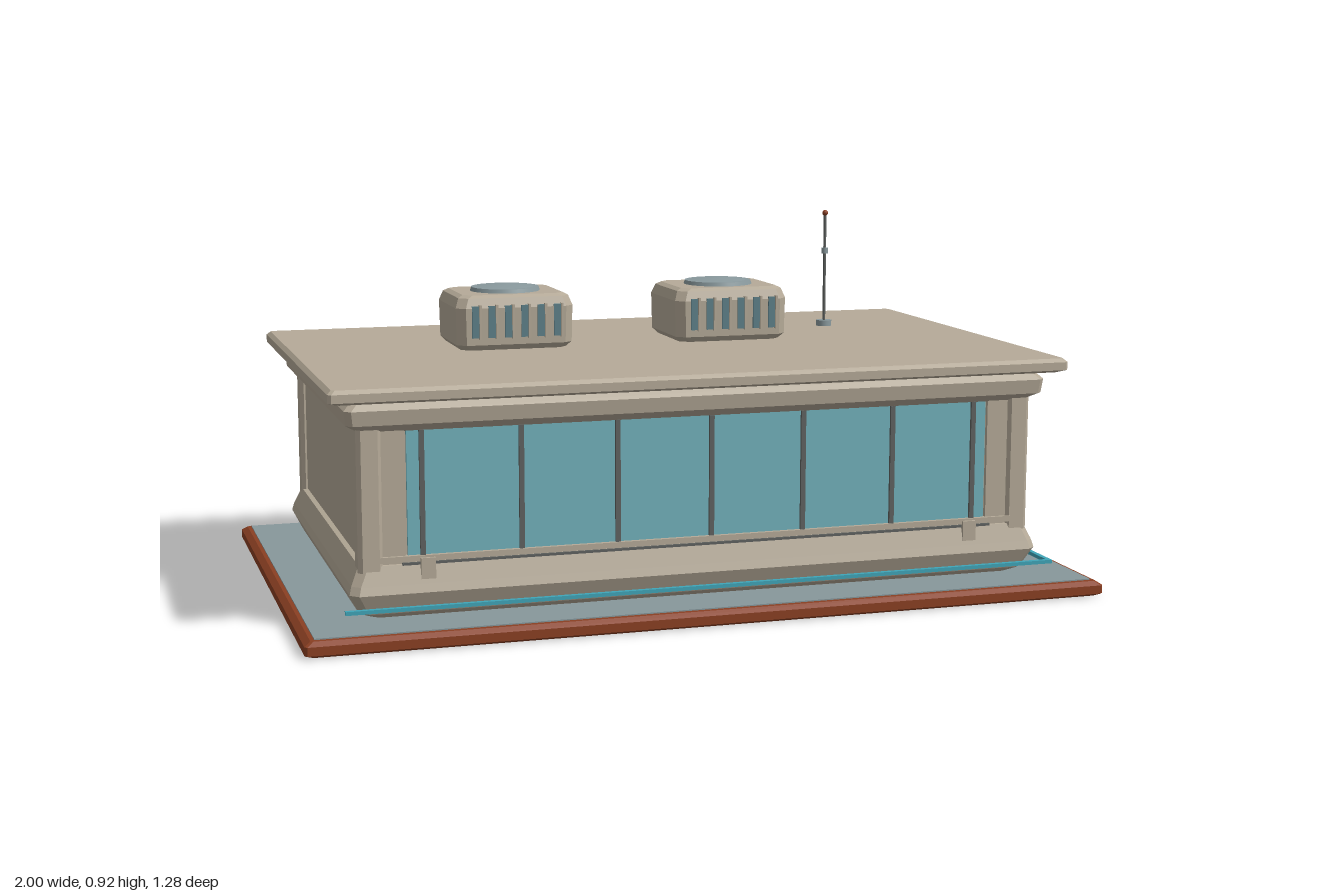
import * as THREE from 'three';

const mat = (name, color) => {
  const m = new THREE.MeshStandardMaterial({ color });
  m.name = name;
  return m;
};

// Stacked rectangular sections [halfX, halfZ, y] with cut corners, closed at both ends
function loft(sections, cut = 0.01) {
  const rings = sections.map(([x, z, y]) => [
    [x, z - cut], [x, cut - z], [x - cut, -z], [cut - x, -z],
    [-x, cut - z], [-x, z - cut], [cut - x, z], [x - cut, z],
  ].map(([a, b]) => [a, y, b]));
  const pos = [];
  const tri = (a, b, c) => pos.push(...a, ...b, ...c);
  for (let i = 0; i < rings.length - 1; i++) {
    const lo = rings[i], hi = rings[i + 1];
    for (let j = 0; j < 8; j++) {
      const k = (j + 1) % 8;
      tri(lo[j], lo[k], hi[k]);
      tri(lo[j], hi[k], hi[j]);
    }
  }
  const bottom = rings[0], top = rings[rings.length - 1];
  for (let j = 1; j < 7; j++) {
    tri(bottom[0], bottom[j + 1], bottom[j]);
    tri(top[0], top[j], top[j + 1]);
  }
  const g = new THREE.BufferGeometry();
  g.setAttribute('position', new THREE.Float32BufferAttribute(pos, 3));
  g.computeVertexNormals();
  return g;
}

export function createModel() {
  const root = new THREE.Group();
  root.name = 'pavilion';

  const stone = mat('warm stone', 0xb5aa98);
  const brick = mat('rust edging', 0x8a3f22);
  const paving = mat('grey paving', 0x87979b);
  const glass = mat('window glass', 0x72b2bc);
  const trim = mat('teal strip', 0x3fa5b8);
  const frame = mat('dark frame', 0x5f6260);
  const metal = mat('fan metal', 0x8a9a9e);
  const slot = mat('vent slot', 0x5d8088);

  const add = (name, geometry, material, x = 0, y = 0, z = 0, parent = root) => {
    const m = new THREE.Mesh(geometry, material);
    m.name = name;
    m.position.set(x, y, z);
    parent.add(m);
    return m;
  };
  const box = (name, w, h, d, material, x, y, z, parent) =>
    add(name, new THREE.BoxGeometry(w, h, d), material, x, y, z, parent);

  // Ground slab with paved top
  add('groundSlab', loft([
    [0.985, 0.63, 0.005], [1, 0.642, 0.012], [1, 0.642, 0.033], [0.985, 0.63, 0.043],
  ], 0.006), brick);
  box('paving', 1.95, 0.008, 1.235, paving, 0, 0.042, 0);

  // Raised strips along the front and one side
  box('frontStrip', 1.79, 0.009, 0.012, trim, 0, 0.084, 0.56);
  box('sideStrip', 0.012, 0.009, 1.13, trim, 0.889, 0.084, 0);

  // Flared plinth, walls and cornice
  add('plinth', loft([
    [0.82, 0.475, 0.045], [0.85, 0.5, 0.06], [0.875, 0.522, 0.11],
    [0.87, 0.515, 0.13], [0.85, 0.5, 0.175], [0.82, 0.475, 0.182],
  ], 0.02), stone);
  add('walls', loft([[0.838, 0.485, 0.16], [0.838, 0.485, 0.53]], 0.012), stone);
  add('cornice', loft([
    [0.845, 0.493, 0.49], [0.878, 0.525, 0.51], [0.882, 0.53, 0.545],
    [0.865, 0.515, 0.562], [0.86, 0.51, 0.575],
  ], 0.015), stone);
  add('roof', loft([
    [0.905, 0.55, 0.565], [0.925, 0.567, 0.572], [0.925, 0.567, 0.592], [0.915, 0.557, 0.601],
  ], 0.008), stone);

  // Corner pilasters
  for (const sx of [-1, 1]) {
    for (const sz of [-1, 1]) {
      add('cornerPilaster', loft([[0.03, 0.03, 0.16], [0.03, 0.03, 0.51]], 0.01),
        stone, sx * 0.823, 0, sz * 0.474);
    }
    // Front piers beside the glazing
    box('frontPier', 0.09, 0.33, 0.02, stone, sx * 0.785, 0.34, 0.486);
    // Small feet under the sill
    box('sillFoot', 0.035, 0.05, 0.02, stone, sx * 0.69, 0.165, 0.502);
  }

  // Window band
  box('windowGlass', 1.47, 0.3, 0.009, glass, 0, 0.341, 0.489);
  box('windowSill', 1.62, 0.014, 0.025, stone, 0, 0.188, 0.492);
  box('plinthGroove', 1.5, 0.006, 0.006, frame, 0, 0.176, 0.5);
  for (const x of [-0.7, -0.462, -0.226, 0.01, 0.246, 0.482, 0.7]) {
    box('mullion', 0.012, 0.3, 0.015, frame, x, 0.341, 0.493);
  }

  // Rooftop cooling units
  for (const x of [-0.355, 0.232]) {
    const unit = new THREE.Group();
    unit.name = 'coolingUnit';
    unit.position.set(x, 0, -0.122);
    root.add(unit);
    add('unitCase', loft([
      [0.138, 0.115, 0.6], [0.152, 0.128, 0.615], [0.154, 0.13, 0.71],
      [0.145, 0.12, 0.735], [0.132, 0.11, 0.742],
    ], 0.022), stone, 0, 0, 0, unit);
    add('fanRing', new THREE.CylinderGeometry(0.088, 0.092, 0.012, 40), metal, 0, 0.746, 0, unit);
    // Shallow domed fan cover
    add('fanCover', new THREE.LatheGeometry([
      new THREE.Vector2(0.088, 0.75), new THREE.Vector2(0.06, 0.754),
      new THREE.Vector2(0.03, 0.757), new THREE.Vector2(0, 0.758),
    ], 40), metal, 0, 0, 0, unit);
    for (let i = 0; i < 6; i++) {
      const sx = (i - 2.5) * 0.043;
      box('ventSlot', 0.018, 0.082, 0.006, slot, sx, 0.675, 0.131, unit);
      box('ventFin', 0.006, 0.088, 0.014, stone, sx + 0.012, 0.675, 0.132, unit);
    }
  }

  // Antenna
  const antenna = new THREE.Group();
  antenna.name = 'antenna';
  antenna.position.set(0.585, 0, -0.235);
  root.add(antenna);
  const rod = (name, r, h, y, material) =>
    add(name, new THREE.CylinderGeometry(r, r, h, 16), material, 0, y, 0, antenna);
  rod('antennaBase', 0.021, 0.016, 0.609, metal);
  rod('antennaPole', 0.004, 0.31, 0.76, frame);
  rod('antennaCollar', 0.009, 0.016, 0.811, metal);
  add('antennaTip', new THREE.SphereGeometry(0.008, 12, 8), brick, 0, 0.916, 0, antenna);

  return root;
}
